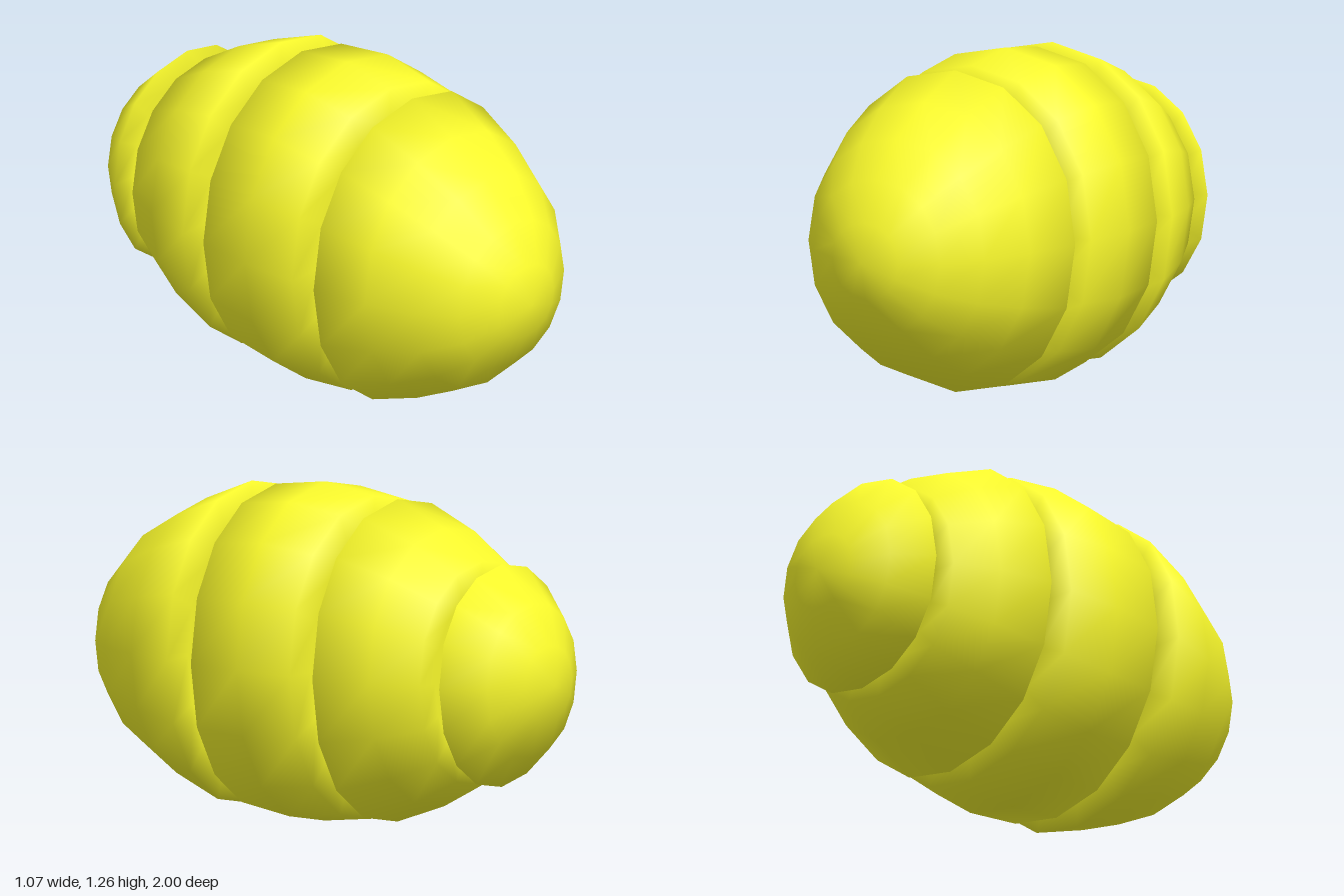
import * as THREE from 'three';
import { mergeVertices } from 'three/addons/utils/BufferGeometryUtils.js';

const SIDES = 16;
const material = new THREE.MeshStandardMaterial({ color: 0xfbfb2c });

// Half-width, half-height, centre x and centre y of the egg at each step from the belt to the tip
const ROWS = [
  [0.537, 0.628, 0, 0.63],
  [0.517, 0.597, -0.003, 0.629],
  [0.460, 0.515, -0.008, 0.625],
  [0.380, 0.412, -0.011, 0.62],
  [0.272, 0.285, -0.015, 0.615],
  [0.142, 0.141, -0.017, 0.61],
  [0, 0, -0.018, 0.607],
];

// Signed power: a slightly full oval
const full = (v) => Math.sign(v) * Math.pow(Math.abs(v), 0.95);

// One oval cross-section, shrunk by scale about its own centre
function ring([row, z], scale = 1) {
  const [w, h, cx, cy] = ROWS[Math.abs(row)];
  return Array.from({ length: SIDES }, (_, j) => {
    const a = (j / SIDES) * Math.PI * 2;
    return [cx + scale * w * full(Math.sin(a)), cy + scale * h * full(Math.cos(a)), z];
  });
}

// Skin cross-sections ordered front to back, with shared vertices for smooth shading
function loft(rings) {
  const index = [];
  for (let i = 0; i < rings.length - 1; i++) {
    for (let j = 0; j < SIDES; j++) {
      const p = i * SIDES + j, pj = i * SIDES + (j + 1) % SIDES;
      index.push(p, pj, p + SIDES, pj, pj + SIDES, p + SIDES);
    }
  }
  const geometry = new THREE.BufferGeometry();
  geometry.setAttribute('position', new THREE.Float32BufferAttribute(rings.flat(2), 3));
  geometry.setIndex(index);
  const merged = mergeVertices(geometry);
  merged.computeVertexNormals();
  return merged;
}

// Solid slice: the curved wall, closed by a flat face at each cut end
function slice(name, rows) {
  const first = rows[0], last = rows[rows.length - 1];
  const isCut = ([row]) => Math.abs(row) < 6;
  const rings = rows.map((r) => ring(r));
  if (isCut(first)) rings.unshift(ring(first, 0), ring(first, 0.75));
  if (isCut(last)) rings.push(ring(last, 0.75), ring(last, 0));
  const mesh = new THREE.Mesh(loft(rings), material);
  mesh.name = name;
  return mesh;
}

export function createModel() {
  const model = new THREE.Group();
  model.name = 'slicedEgg';
  // Each entry is [row, z]; rows count forward from the belt as positive
  model.add(
    slice('frontCap', [[6, 1], [5, 0.97], [4, 0.895], [3, 0.765], [2, 0.585], [1, 0.375]]),
    slice('middleSlice', [[1, 0.265], [0, 0.04], [-1, -0.185]]),
    slice('rearSlice', [[-1, -0.29], [-2, -0.5], [-3, -0.67]]),
    slice('backCap', [[-3, -0.76], [-4, -0.895], [-5, -0.97], [-6, -1]]),
  );
  return model;
}
